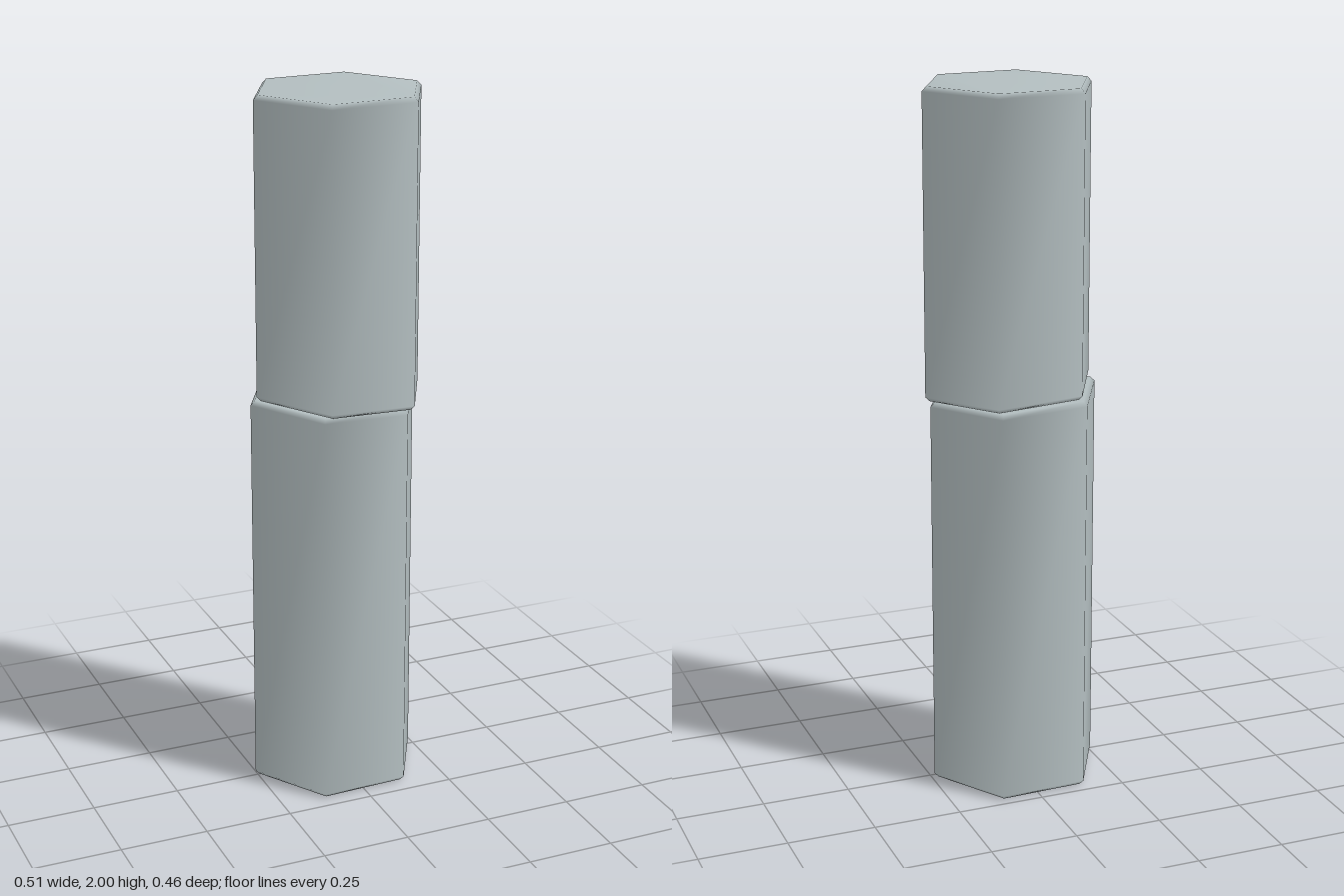
import * as THREE from 'three';

const SIDES = 6;
const RADIUS = 0.25;
const BEVEL = 0.013;

// Hexagonal column with small bevels and shared (smooth) corner normals.
// bottom and top give the height of each end as a function of x.
function hexColumn(cx, cz, turn, bottom, top) {
  const rings = [
    [RADIUS - BEVEL, bottom, 0],
    [RADIUS, bottom, BEVEL],
    [RADIUS, top, -BEVEL],
    [RADIUS - BEVEL, top, 0],
  ];
  const positions = [];
  for (const [r, end, lift] of rings) {
    for (let i = 0; i < SIDES; i++) {
      const a = turn + (i * Math.PI * 2) / SIDES;
      const x = cx + r * Math.sin(a);
      positions.push(x, end(x) + lift, cz + r * Math.cos(a));
    }
  }
  const index = [];
  // Bevels and walls
  for (let k = 0; k < rings.length - 1; k++) {
    for (let i = 0; i < SIDES; i++) {
      const j = (i + 1) % SIDES;
      const a = k * SIDES + i, b = k * SIDES + j;
      const c = a + SIDES, d = b + SIDES;
      index.push(a, b, d, a, d, c);
    }
  }
  // End caps
  const t = (rings.length - 1) * SIDES;
  for (let i = 1; i < SIDES - 1; i++) {
    index.push(0, i + 1, i);
    index.push(t, t + i, t + i + 1);
  }
  const geometry = new THREE.BufferGeometry();
  geometry.setAttribute('position', new THREE.Float32BufferAttribute(positions, 3));
  geometry.setIndex(index);
  geometry.computeVertexNormals();
  return geometry;
}

export function createModel() {
  const group = new THREE.Group();
  group.name = 'stoneColumn';

  const stone = new THREE.MeshStandardMaterial({ color: 0xb3bec0 });
  stone.name = 'paleGreyStone';

  const deg = THREE.MathUtils.degToRad;
  // The joint between the two blocks slopes down slightly towards +x
  const joint = (offset) => (x) => 1.145 + offset - 0.042 * x;

  const lower = new THREE.Mesh(
    hexColumn(-0.007, -0.009, deg(32), () => 0, joint(-0.001)), stone);
  lower.name = 'lowerBlock';

  const upper = new THREE.Mesh(
    hexColumn(0.005, 0.003, deg(33), joint(0.001), () => 2), stone);
  upper.name = 'upperBlock';

  group.add(lower, upper);
  return group;
}
